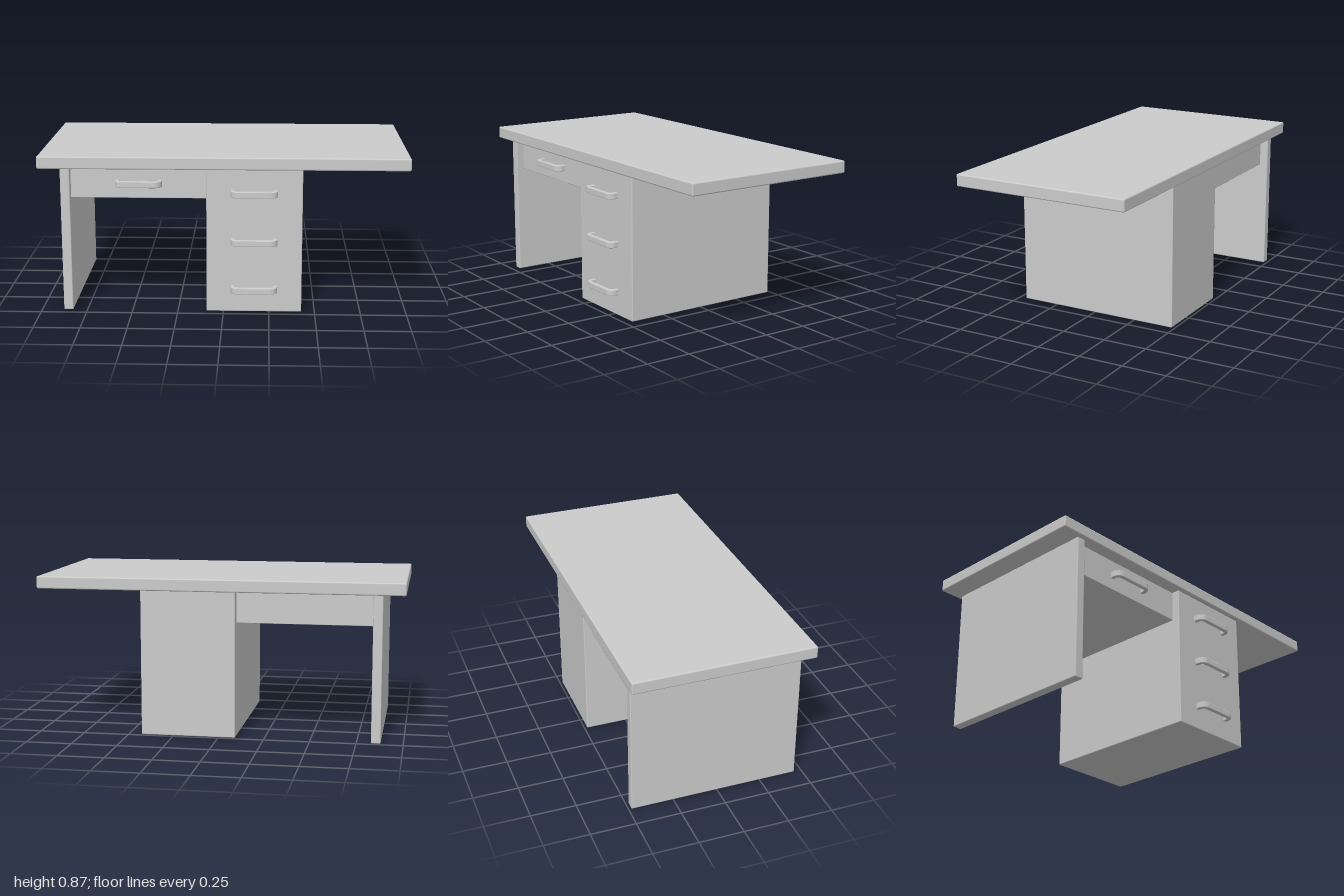
import * as THREE from 'three';
import { RoundedBoxGeometry } from 'three/addons/geometries/RoundedBoxGeometry.js';

const grey = new THREE.MeshStandardMaterial({ color: 0xcccccc });

// Softly rounded block given by its extents on each axis
function block(name, [x0, x1], [y0, y1], [z0, z1], radius = 0.006) {
  const mesh = new THREE.Mesh(new RoundedBoxGeometry(x1 - x0, y1 - y0, z1 - z0, 2, radius), grey);
  mesh.position.set((x0 + x1) / 2, (y0 + y1) / 2, (z0 + z1) / 2);
  mesh.name = name;
  return mesh;
}

// U-shaped pull outline: x across, y outwards from the drawer front
function handleGeometry() {
  const half = 0.123, out = 0.053, t = 0.015, r = 0.036, ri = r - t, b = 0.004;
  const s = new THREE.Shape();
  s.moveTo(-half, -0.006);
  s.lineTo(-half, out - r);
  s.absarc(-half + r, out - r, r, Math.PI, Math.PI / 2, true);
  s.lineTo(half - r, out);
  s.absarc(half - r, out - r, r, Math.PI / 2, 0, true);
  s.lineTo(half, -0.006);
  s.lineTo(half - t, -0.006);
  s.lineTo(half - t, out - r);
  s.absarc(half - r, out - r, ri, 0, Math.PI / 2, false);
  s.lineTo(-half + r, out - t);
  s.absarc(-half + r, out - r, ri, Math.PI / 2, Math.PI, false);
  s.lineTo(-half + t, -0.006);
  s.closePath();
  const depth = 0.027;
  const geo = new THREE.ExtrudeGeometry(s, {
    depth, curveSegments: 8, bevelSize: b, bevelThickness: b, bevelSegments: 2,
  });
  geo.translate(0, 0, -depth / 2);
  geo.rotateX(Math.PI / 2); // outwards becomes +z
  return geo;
}

export function createModel() {
  const desk = new THREE.Group();
  desk.name = 'desk';
  const bodyDepth = [-0.485, 0.458];

  desk.add(
    block('desktop', [-1, 1], [0.8, 0.868], [-0.515, 0.485], 0.008),
    block('sidePanel', [-0.88, -0.828], [0, 0.804], bodyDepth),
    block('drawerPedestal', [-0.092, 0.428], [0, 0.804], bodyDepth),
    block('centreDrawer', [-0.834, -0.086], [0.627, 0.806], [-0.438, 0.412], 0.003),
  );

  // Three pulls on the pedestal, one on the centre drawer
  const pull = handleGeometry();
  const places = [
    ['pedestalHandleTop', 0.167, 0.671, 0.458],
    ['pedestalHandleMiddle', 0.167, 0.402, 0.458],
    ['pedestalHandleBottom', 0.167, 0.133, 0.458],
    ['centreDrawerHandle', -0.459, 0.712, 0.412],
  ];
  for (const [name, x, y, z] of places) {
    const handle = new THREE.Mesh(pull, grey);
    handle.name = name;
    handle.position.set(x, y, z);
    desk.add(handle);
  }
  return desk;
}
